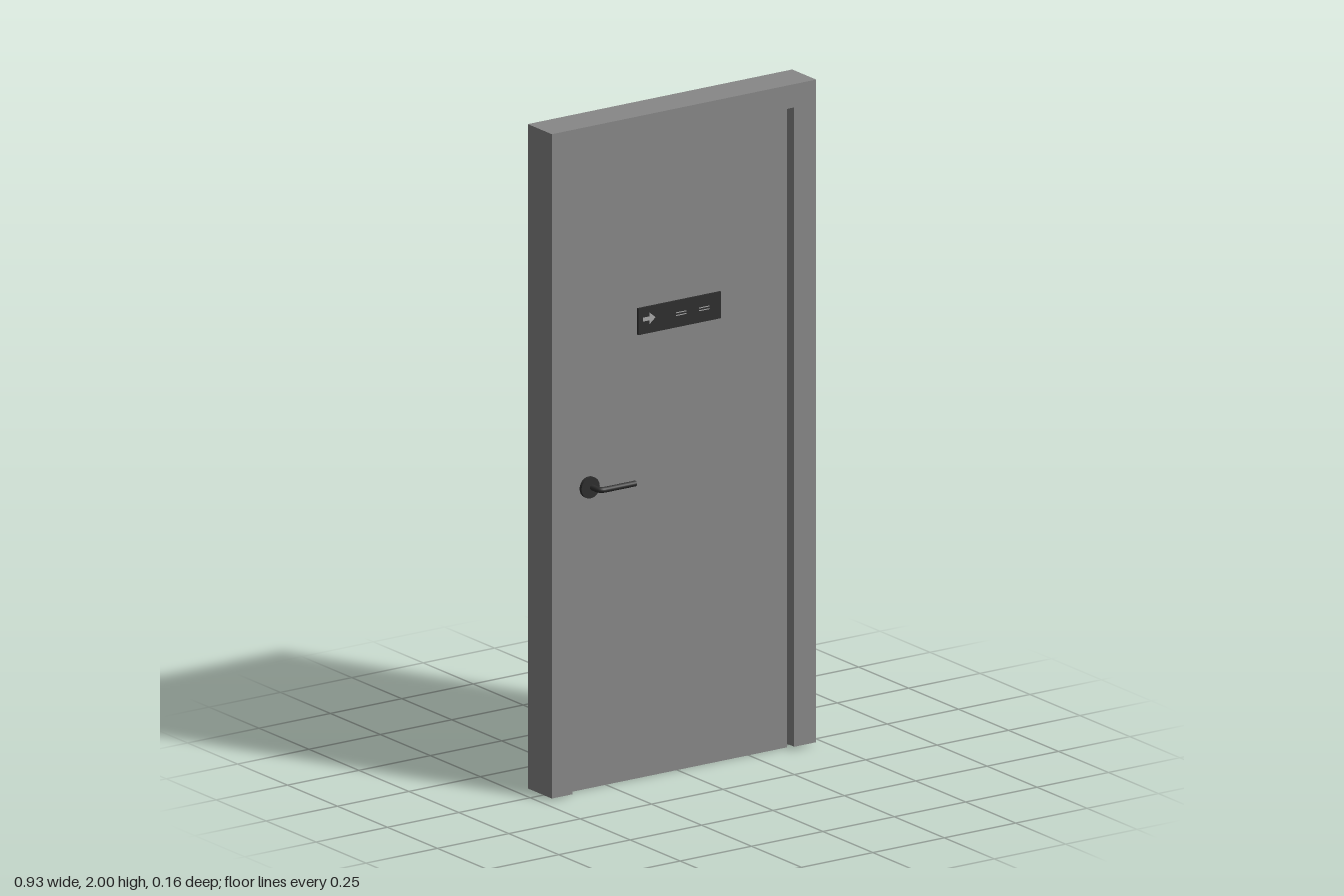
import * as THREE from 'three';

const grey = new THREE.MeshStandardMaterial({ name: 'doorGrey', color: 0x888888 });
const dark = new THREE.MeshStandardMaterial({ name: 'darkMetal', color: 0x2e2e2e });
const pale = new THREE.MeshStandardMaterial({ name: 'paleMark', color: 0xa8a8a8 });

const DOOR_FRONT = 0.021, DOOR_BACK = -0.03, HANDLE_Y = 0.905;

function add(parent, name, geometry, material, x = 0, y = 0, z = 0) {
  const mesh = new THREE.Mesh(geometry, material);
  mesh.name = name;
  mesh.position.set(x, y, z);
  parent.add(mesh);
  return mesh;
}

function polygon(points) {
  return new THREE.Shape(points.map(([x, y]) => new THREE.Vector2(x, y)));
}

// Rose and bent lever; side is +1 for the front, -1 for the back
function makeHandle(side, surfaceZ, leverZ) {
  const handle = new THREE.Group();
  handle.name = side > 0 ? 'frontHandle' : 'backHandle';

  const rose = add(handle, 'rose', new THREE.CylinderGeometry(0.032, 0.032, 0.01, 24), dark,
    -0.31, HANDLE_Y, surfaceZ + side * 0.005);
  rose.rotation.x = Math.PI / 2;

  const bend = 0.018, postX = -0.304, endX = -0.18, r = 0.0085;
  const v = (x, z) => new THREE.Vector3(x, HANDLE_Y, z);
  const path = new THREE.CurvePath();
  path.add(new THREE.LineCurve3(v(postX, surfaceZ), v(postX, leverZ - side * bend)));
  path.add(new THREE.QuadraticBezierCurve3(v(postX, leverZ - side * bend), v(postX, leverZ), v(postX + bend, leverZ)));
  path.add(new THREE.LineCurve3(v(postX + bend, leverZ), v(endX, leverZ)));
  add(handle, 'lever', new THREE.TubeGeometry(path, 48, r, 12, false), dark);

  const cap = add(handle, 'leverEnd', new THREE.CircleGeometry(r, 12), dark, endX, HANDLE_Y, leverZ);
  cap.rotation.y = Math.PI / 2;
  return handle;
}

export function createModel() {
  const model = new THREE.Group();
  model.name = 'door';

  // Jambs and head in one piece
  const frame = polygon([
    [-0.463, 0.005], [-0.39, 0.005], [-0.39, 1.93], [0.386, 1.93],
    [0.386, 0.01], [0.463, 0.01], [0.463, 2], [-0.463, 2],
  ]);
  add(model, 'frame', new THREE.ExtrudeGeometry(frame, { depth: 0.12, bevelEnabled: false }), grey, 0, 0, -0.065);

  // Leaf, with a narrow gap under the head
  add(model, 'leaf', new THREE.BoxGeometry(0.774, 1.92, DOOR_FRONT - DOOR_BACK), grey,
    -0.002, 0.96, (DOOR_FRONT + DOOR_BACK) / 2);

  // Sign plate with a small arrow and plain marks
  const sign = new THREE.Group();
  sign.name = 'sign';
  add(sign, 'plate', new THREE.BoxGeometry(0.29, 0.08, 0.006), dark, 0.005, 1.372, DOOR_FRONT + 0.003);
  const markZ = DOOR_FRONT + 0.0065;
  const arrow = polygon([
    [-0.02, -0.006], [0.002, -0.006], [0.002, -0.018], [0.024, 0],
    [0.002, 0.018], [0.002, 0.006], [-0.02, 0.006],
  ]);
  add(sign, 'arrow', new THREE.ShapeGeometry(arrow), pale, -0.104, 1.376, markZ);
  for (const x of [0.01, 0.09]) {
    for (const y of [1.368, 1.376]) {
      add(sign, 'mark', new THREE.PlaneGeometry(0.036, 0.003), pale, x, y, markZ);
    }
  }
  model.add(sign);

  // Levers on both faces
  model.add(makeHandle(1, DOOR_FRONT, 0.0695));
  model.add(makeHandle(-1, DOOR_BACK, -0.0735));

  return model;
}
